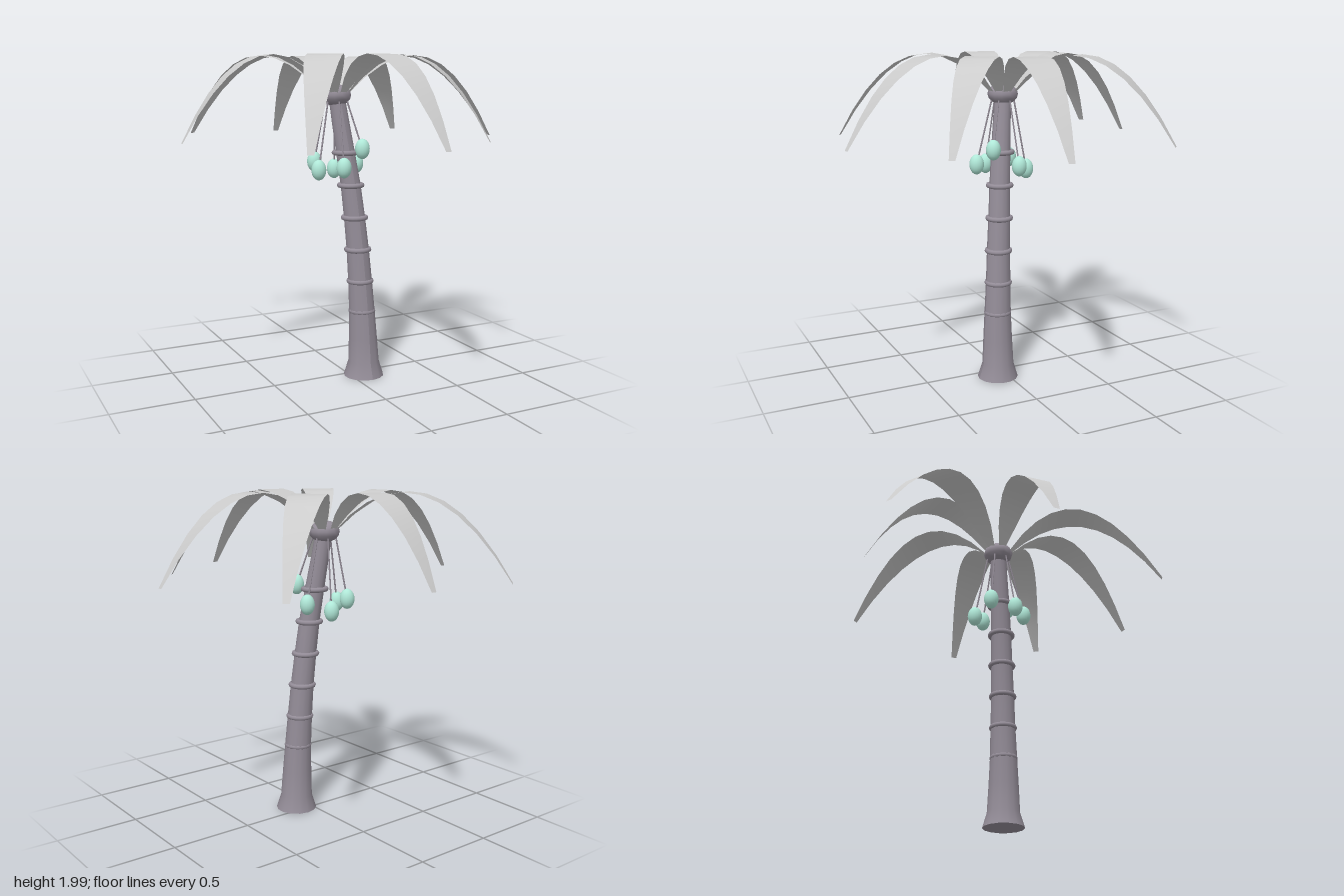
import * as THREE from 'three';

const barkMat = new THREE.MeshStandardMaterial({ color: 0x948d98 });
const nutMat = new THREE.MeshStandardMaterial({ color: 0xb0e8d8 });
const leafMat = new THREE.MeshStandardMaterial({ color: 0xcccccc, side: THREE.DoubleSide });

// Trunk stations: x, y, z, radius
const STATIONS = [
  [0.085, 0, 0.058, 0.126], [0.085, 0.09, 0.057, 0.098], [0.08, 0.25, 0.056, 0.09],
  [0.074, 0.42, 0.053, 0.082], [0.065, 0.61, 0.045, 0.076], [0.052, 0.81, 0.037, 0.071],
  [0.036, 1.01, 0.024, 0.067], [0.016, 1.21, 0.011, 0.063], [-0.01, 1.41, -0.008, 0.059],
  [-0.035, 1.6, -0.028, 0.054], [-0.054, 1.76, -0.044, 0.05],
];
const CROWN = new THREE.Vector3(-0.057, 1.756, -0.044);

function add(group, name, geometry, material) {
  const mesh = new THREE.Mesh(geometry, material);
  mesh.name = name;
  group.add(mesh);
  return mesh;
}

// Leaning tapered trunk: each cylinder row is moved onto its station
function trunkGeometry() {
  const n = STATIONS.length - 1;
  const geo = new THREE.CylinderGeometry(1, 1, 1, 14, n);
  const p = geo.attributes.position;
  for (let i = 0; i < p.count; i++) {
    const [x, y, z, r] = STATIONS[Math.round((p.getY(i) + 0.5) * n)];
    p.setXYZ(i, x + p.getX(i) * r, y, z + p.getZ(i) * r);
  }
  geo.computeVertexNormals();
  return geo;
}

// Thin frond that rises from the crown, arches over and droops to the tip
function frondGeometry(tipX, tipZ) {
  const dx = tipX - CROWN.x, dz = tipZ - CROWN.z;
  const reach = Math.hypot(dx, dz), c = dx / reach, s = dz / reach;
  const start = 0.07, peak = 0.405;
  const geo = new THREE.PlaneGeometry(1, 1, 2, 10);
  const p = geo.attributes.position;
  for (let i = 0; i < p.count; i++) {
    const t = p.getY(i) + 0.5;
    const d = start + (reach - start) * t;
    const width = 0.036 + 0.166 * Math.sin(Math.PI * Math.pow(t, 0.85));
    const w = p.getX(i) * width;
    const y = 1.995 - 1.427 * (t - peak) ** 2;
    p.setXYZ(i, CROWN.x + c * d - s * w, y, CROWN.z + s * d + c * w);
  }
  geo.computeVertexNormals();
  return geo;
}

export function createModel() {
  const model = new THREE.Group();
  model.name = 'palmTree';

  add(model, 'trunk', trunkGeometry(), barkMat);

  // Bark rings, all one size, so the lowest sink into the thicker trunk
  const rings = new THREE.Group();
  rings.name = 'trunkRings';
  model.add(rings);
  for (const [x, y, z] of STATIONS.slice(3, 9)) {
    const ring = add(rings, 'trunkRing', new THREE.TorusGeometry(0.07, 0.0155, 8, 20), barkMat);
    ring.rotation.x = Math.PI / 2;
    ring.position.set(x, y, z);
  }

  // Squashed ball at the top of the trunk
  const crown = add(model, 'crown', new THREE.SphereGeometry(1, 12, 8), barkMat);
  crown.scale.set(0.093, 0.066, 0.093);
  crown.position.copy(CROWN);

  // Fronds, by tip position (x, z)
  const fronds = new THREE.Group();
  fronds.name = 'fronds';
  model.add(fronds);
  const tips = [
    [-0.995, -0.125], [-0.68, -0.975], [-0.095, -0.93], [0.74, -0.75],
    [0.99, 0.075], [0.64, 0.58], [0.09, 0.98], [-0.615, 0.82],
  ];
  for (const [x, z] of tips) add(fronds, 'frond', frondGeometry(x, z), leafMat);

  // Hanging nuts, each on a thin stem from the underside of the crown
  const nuts = new THREE.Group();
  nuts.name = 'nuts';
  model.add(nuts);
  const spots = [
    [0.063, 1.435, 0.075], [0.1, 1.332, -0.08], [-0.083, 1.33, 0.12],
    [-0.16, 1.35, -0.138], [-0.197, 1.312, 0.008], [-0.005, 1.295, -0.18],
  ];
  for (const spot of spots) {
    const nut = add(nuts, 'nut', new THREE.SphereGeometry(1, 16, 12), nutMat);
    nut.scale.set(0.045, 0.062, 0.045);
    nut.position.set(...spot);

    const out = nut.position.clone().sub(CROWN).setY(0).setLength(0.065);
    const top = CROWN.clone().add(out).setY(1.74);
    const stemPath = new THREE.LineCurve3(top, nut.position.clone());
    add(nuts, 'nutStem', new THREE.TubeGeometry(stemPath, 1, 0.005, 6), barkMat);
  }
  return model;
}
